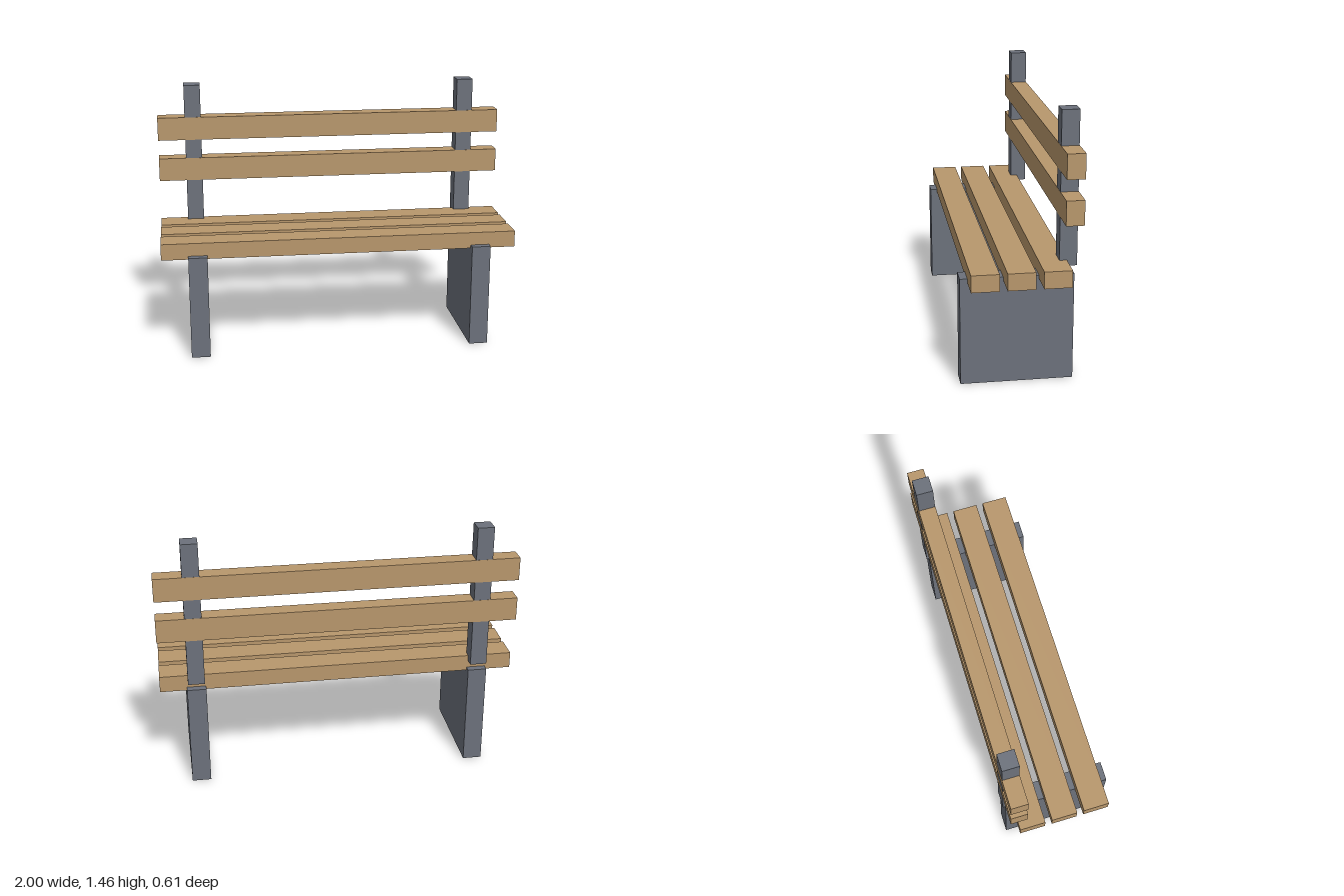
import * as THREE from 'three';

export function createModel() {
  const bench = new THREE.Group();
  bench.name = 'bench';
  const wood = new THREE.MeshStandardMaterial({ color: 0xb8976c });
  const metal = new THREE.MeshStandardMaterial({ color: 0x6c717b });

  function addBox(name, material, size, position) {
    const mesh = new THREE.Mesh(new THREE.BoxGeometry(...size), material);
    mesh.name = name;
    mesh.position.set(...position);
    bench.add(mesh);
  }

  // Slab legs and backrest posts, mirrored left and right
  for (const [side, sign] of [['left', 1], ['right', -1]]) {
    addBox(side + 'Leg', metal, [0.106, 0.588, 0.598], [sign * 0.798, 0.294, 0.007]);
    addBox(side + 'BackPost', metal, [0.093, 0.825, 0.093], [sign * 0.798, 1.0425, -0.2595]);
  }

  // Three seat slats, sunk slightly over the legs
  for (let i = 0; i < 3; i++) {
    addBox('seatSlat' + (i + 1), wood, [2, 0.092, 0.146], [0, 0.615, 0.007 + (1 - i) * 0.186]);
  }

  // Two backrest slats, a hair deeper than the posts so their faces stay clean
  [0.963, 1.203].forEach((y, i) => {
    addBox('backSlat' + (i + 1), wood, [2, 0.132, 0.095], [0, y, -0.2595]);
  });

  return bench;
}
